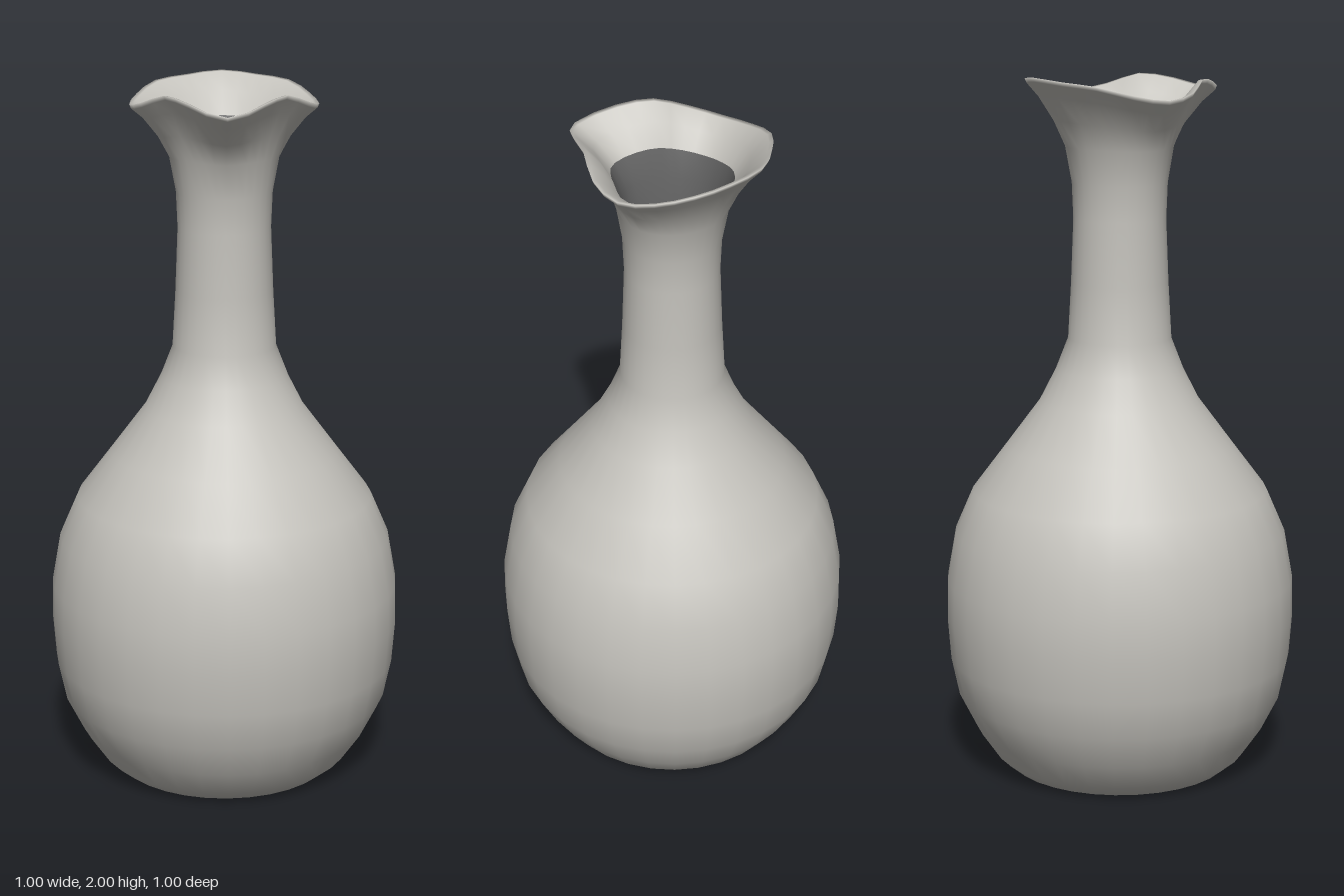
import * as THREE from 'three';

const SIDES = 32;

// Half outline of the poured lip, from the front spout round to the back
const rimRadius = [0.31, 0.265, 0.236, 0.25, 0.262, 0.262, 0.268, 0.263, 0.275];
const rimHeight = [1.952, 1.978, 1.99, 1.96, 1.943, 1.958, 1.983, 1.992, 2.0];

// Smoothly reads a half outline at t (0 = front, 1 = back)
function sample(list, t) {
  const p = t * (list.length - 1);
  const i = Math.min(Math.floor(p), list.length - 2);
  const f = p - i, last = list.length - 1;
  const at = k => list[k < 0 ? -k : k > last ? 2 * last - k : k];
  const a = at(i - 1), b = at(i), c = at(i + 1), d = at(i + 2);
  return b + 0.5 * f * (c - a + f * (2 * a - 5 * b + 4 * c - d + f * (3 * (b - c) + d - a)));
}

// Turns rings [radius, y, flare] into a skin; flare blends a ring to the lip outline
function skin(rings) {
  const positions = [], index = [];
  for (const [r, y, flare] of rings) {
    for (let j = 0; j < SIDES; j++) {
      const angle = (j / SIDES) * Math.PI * 2;
      const t = Math.min(j, SIDES - j) / (SIDES / 2);
      const radius = r + (sample(rimRadius, t) - 0.262) * flare;
      const height = y + (sample(rimHeight, t) - 1.97) * flare;
      positions.push(Math.sin(angle) * radius, height, Math.cos(angle) * radius);
    }
  }
  for (let i = 0; i < rings.length - 1; i++) {
    for (let j = 0; j < SIDES; j++) {
      const k = (j + 1) % SIDES;
      const a = i * SIDES + j, b = i * SIDES + k;
      const c = a + SIDES, d = b + SIDES;
      index.push(a, b, c, b, d, c);
    }
  }
  const geometry = new THREE.BufferGeometry();
  geometry.setAttribute('position', new THREE.Float32BufferAttribute(positions, 3));
  geometry.setIndex(index);
  geometry.computeVertexNormals();
  return geometry;
}

export function createModel() {
  const group = new THREE.Group();
  const clay = new THREE.MeshStandardMaterial({ name: 'pale clay', color: 0xc4c2bc });
  const dark = new THREE.MeshStandardMaterial({ name: 'dark interior', color: 0x626262 });

  const add = (name, rings, material) => {
    const mesh = new THREE.Mesh(skin(rings), material);
    mesh.name = name;
    group.add(mesh);
  };

  // Base, belly, neck, flared lip and the upper inside of the lip
  add('flaskBody', [
    [0, 0, 0], [0.2, 0, 0], [0.32, 0.003, 0], [0.365, 0.04, 0],
    [0.42, 0.12, 0], [0.47, 0.22, 0], [0.493, 0.33, 0], [0.502, 0.45, 0],
    [0.5, 0.56, 0], [0.475, 0.7, 0], [0.423, 0.82, 0], [0.325, 0.95, 0],
    [0.228, 1.08, 0], [0.182, 1.17, 0], [0.147, 1.26, 0], [0.138, 1.42, 0],
    [0.131, 1.6, 0], [0.135, 1.7, 0], [0.153, 1.8, 0.1], [0.184, 1.865, 0.4],
    [0.225, 1.925, 0.75], [0.257, 1.958, 1], [0.262, 1.97, 1],
    [0.25, 1.968, 1], [0.205, 1.93, 0.7], [0.165, 1.875, 0.35],
  ], clay);

  // Shadowy throat with a floor deep in the neck
  add('throat', [
    [0.165, 1.875, 0.35], [0.138, 1.8, 0.1], [0.12, 1.68, 0],
    [0.113, 1.55, 0], [0.105, 1.3, 0],
  ], dark);
  add('throatFloor', [[0.105, 1.3, 0], [0, 1.3, 0]], dark);

  return group;
}
